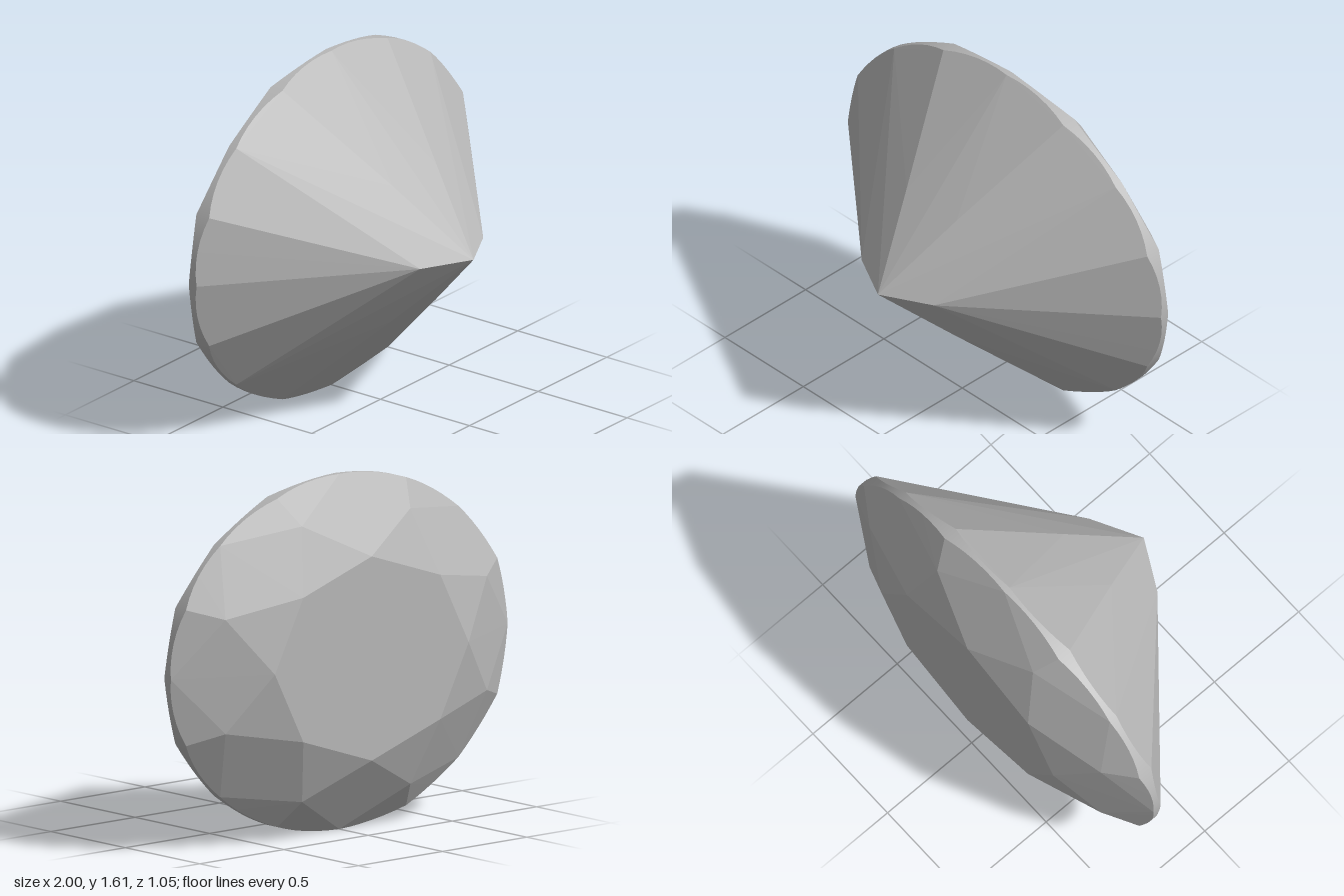
import * as THREE from 'three';
import { ConvexGeometry } from 'three/addons/geometries/ConvexGeometry.js';

const RX = 1, RY = 0.805;

// Point on the oval outline scaled by r, at depth z
function oval(deg, r, z) {
  const a = THREE.MathUtils.degToRad(deg);
  return new THREE.Vector3(RX * r * Math.cos(a), RY * r * Math.sin(a), z);
}

export function createModel() {
  const group = new THREE.Group();
  group.name = 'ovalGem';
  const stone = new THREE.MeshStandardMaterial({ color: 0xb8b8b8 });
  stone.name = 'stone grey';

  const pts = [];

  // Pointed keel and the four pavilion break corners
  pts.push(new THREE.Vector3(0, 0, 0.523));
  for (const sx of [-1, 1]) {
    pts.push(new THREE.Vector3(sx * 0.23, 0, 0.4));
    for (const sy of [-1, 1]) pts.push(new THREE.Vector3(sx * 0.16, sy * 0.325, 0.19));
  }

  // Table corners and crown break corners
  for (let i = 0; i < 8; i++) {
    pts.push(oval(i * 45, 0.575, -0.525));
    pts.push(oval(i * 45 + 22.5, 0.84, -0.42));
  }

  // Girdle edges, scalloped between sixteen facet corners
  const front = [-0.262, -0.25, -0.265, -0.255, -0.275, -0.255, -0.265, -0.25];
  const back = [-0.306, -0.322];
  const steps = 6;
  for (let i = 0; i < 16; i++) {
    for (let s = 0; s < steps; s++) {
      const t = s / steps, bulge = 4 * t * (1 - t);
      const deg = (i + t) * 22.5;
      const zf = THREE.MathUtils.lerp(front[i % 8], front[(i + 1) % 8], t) - 0.016 * bulge;
      const zb = THREE.MathUtils.lerp(back[i % 2], back[(i + 1) % 2], t) + 0.012 * bulge;
      pts.push(oval(deg, 1, zf), oval(deg, 1, zb));
    }
  }

  // Cut the stone, then sort its facets into parts by the way they face
  const hull = new ConvexGeometry(pts);
  const pos = hull.attributes.position, nor = hull.attributes.normal;
  const parts = { pavilion: [], girdle: [], crown: [] };
  const normals = { pavilion: [], girdle: [], crown: [] };
  for (let i = 0; i < pos.count; i += 3) {
    const nz = nor.getZ(i);
    const key = nz > 0.25 ? 'pavilion' : nz < -0.25 ? 'crown' : 'girdle';
    for (let k = i; k < i + 3; k++) {
      const x = pos.getX(k), y = pos.getY(k);
      parts[key].push(x, y, pos.getZ(k));
      if (key === 'girdle') {
        // Smooth band around the outline
        const n = new THREE.Vector3(x / (RX * RX), y / (RY * RY), 0).normalize();
        normals[key].push(n.x, n.y, n.z);
      } else {
        normals[key].push(nor.getX(k), nor.getY(k), nor.getZ(k));
      }
    }
  }

  for (const name of Object.keys(parts)) {
    const geo = new THREE.BufferGeometry();
    geo.setAttribute('position', new THREE.Float32BufferAttribute(parts[name], 3));
    geo.setAttribute('normal', new THREE.Float32BufferAttribute(normals[name], 3));
    const mesh = new THREE.Mesh(geo, stone);
    mesh.name = name;
    mesh.position.y = RY;
    group.add(mesh);
  }
  return group;
}
